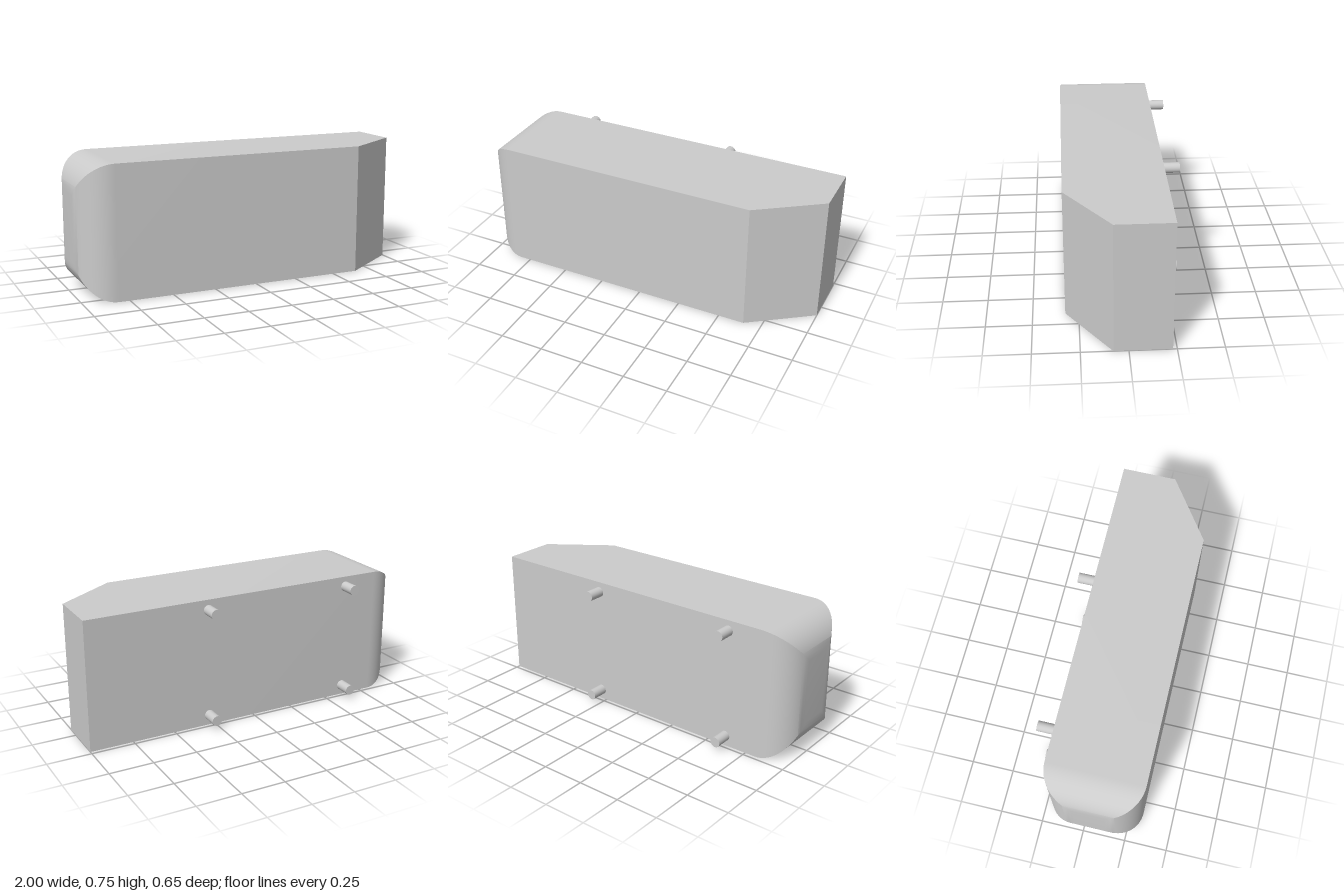
import * as THREE from 'three';
import { toCreasedNormals } from 'three/addons/utils/BufferGeometryUtils.js';

const H = 0.746, BACK = -0.228, FRONT = 0.323, R = 0.187;

// Lofts rectangular sections along x; each section is [x, y0, y1, z0, z1]
function loft(sections) {
  const pos = [];
  const rings = sections.map(([x, y0, y1, z0, z1]) => [[x, y0, z0], [x, y0, z1], [x, y1, z1], [x, y1, z0]]);
  const quad = (a, b, c, d) => pos.push(...a, ...b, ...c, ...a, ...c, ...d);
  for (let i = 0; i < rings.length - 1; i++) {
    for (let j = 0; j < 4; j++) {
      const k = (j + 1) % 4;
      quad(rings[i][j], rings[i + 1][j], rings[i + 1][k], rings[i][k]);
    }
  }
  const last = rings[rings.length - 1];
  quad(...rings[0]);
  quad(last[3], last[2], last[1], last[0]);
  const geo = new THREE.BufferGeometry();
  geo.setAttribute('position', new THREE.Float32BufferAttribute(pos, 3));
  return toCreasedNormals(geo, 0.4);
}

export function createModel() {
  const model = new THREE.Group();
  const material = new THREE.MeshStandardMaterial({ color: 0xcccccc });

  // Body: rounded on all four edges of the right end, chamfered at the front left
  const sections = [];
  const steps = 16;
  for (let i = 0; i <= steps; i++) {
    const a = (i / steps) * Math.PI / 2;
    const inset = R * (1 - Math.sin(a));
    sections.push([-1 + R * (1 - Math.cos(a)), inset, H - inset, BACK + inset, FRONT - inset]);
  }
  sections.push([0.65, 0, H, BACK, FRONT], [1, 0, H, BACK, 0.08]);
  const body = new THREE.Mesh(loft(sections), material);
  body.name = 'body';
  model.add(body);

  // Four mounting pegs on the back
  const pegs = new THREE.Group();
  pegs.name = 'mountingPegs';
  const length = 0.095;
  const pegGeometry = new THREE.CylinderGeometry(0.029, 0.029, length, 32).rotateX(Math.PI / 2);
  for (const x of [-0.615, 0.283]) {
    for (const y of [0.06, 0.687]) {
      const peg = new THREE.Mesh(pegGeometry, material);
      peg.name = 'mountingPeg';
      peg.position.set(x, y, BACK - length / 2);
      pegs.add(peg);
    }
  }
  model.add(pegs);
  return model;
}
